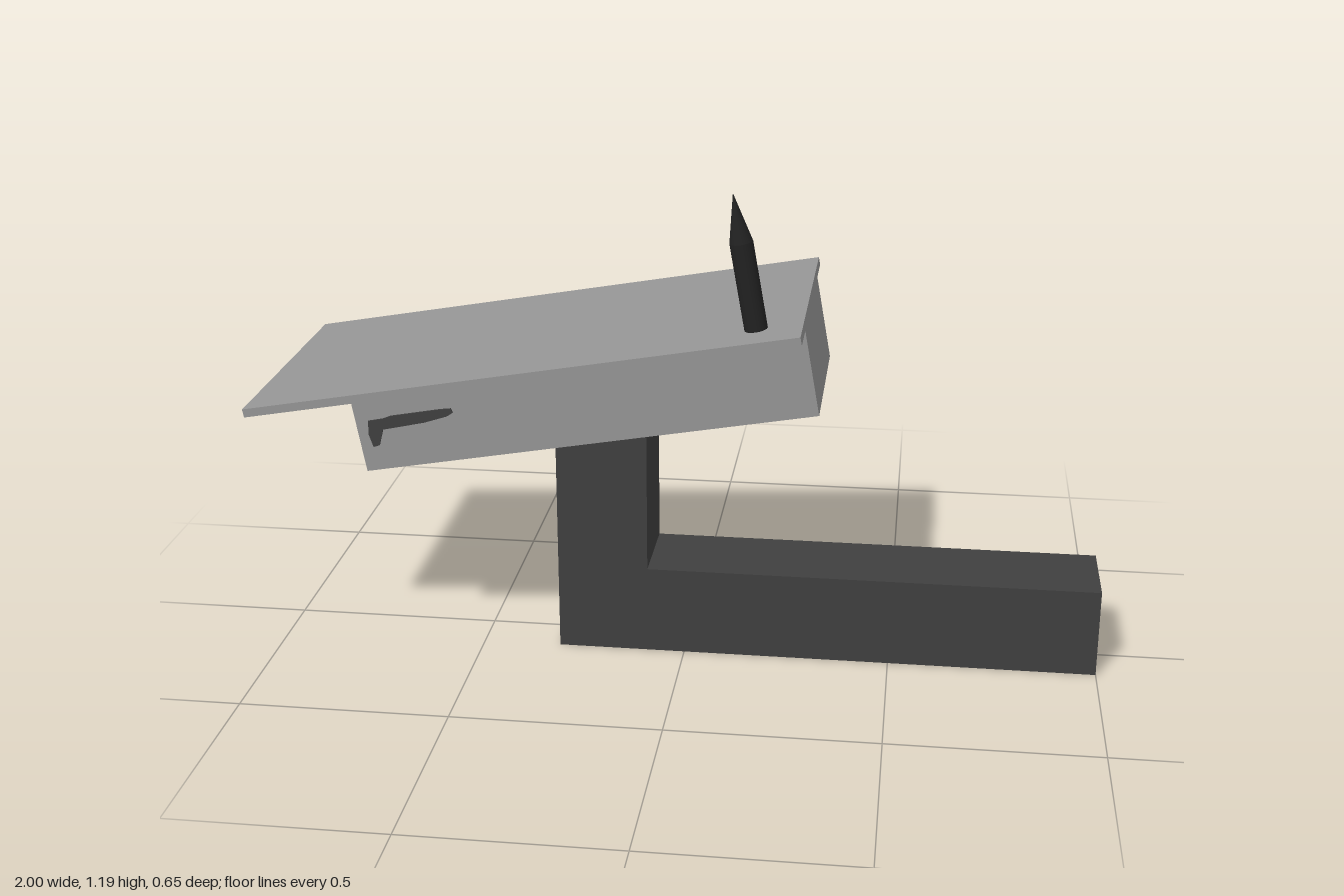
import * as THREE from 'three';

const mat = (name, color, side = THREE.FrontSide) => {
  const m = new THREE.MeshStandardMaterial({ color, side });
  m.name = name;
  return m;
};

function roundedRect(w, h, r) {
  const s = new THREE.Shape(), x = w / 2, y = h / 2;
  s.absarc(x - r, y - r, r, 0, Math.PI / 2);
  s.absarc(-x + r, y - r, r, Math.PI / 2, Math.PI);
  s.absarc(-x + r, -y + r, r, Math.PI, Math.PI * 1.5);
  s.absarc(x - r, -y + r, r, Math.PI * 1.5, Math.PI * 2);
  return s;
}

const polygon = (pts) => new THREE.Shape(pts.map(([x, y]) => new THREE.Vector2(x, y)));

export function createModel() {
  const model = new THREE.Group();
  model.name = 'securityCamera';
  const grey = mat('casingGrey', 0x969696);
  const dark = mat('mountDark', 0x404040);
  const black = mat('black', 0x222222);
  const yellow = mat('labelYellow', 0xa08a08);

  const add = (parent, name, geo, material, x = 0, y = 0, z = 0) => {
    const m = new THREE.Mesh(geo, material);
    m.name = name;
    m.position.set(x, y, z);
    parent.add(m);
    return m;
  };
  const plate = (shape, depth) =>
    new THREE.ExtrudeGeometry(shape, { depth, bevelEnabled: false, curveSegments: 8 });

  // L-shaped wall bracket, cut to the slope of the casing
  const bracket = polygon([[-0.31, 0], [1, 0], [1, 0.218], [-0.09, 0.218], [-0.09, 0.602], [-0.31, 0.563]]);
  add(model, 'bracket', plate(bracket, 0.216), dark, 0, 0, -0.108);

  // Tilted head; its origin is the lower rear edge of the casing
  const head = new THREE.Group();
  head.name = 'cameraHead';
  head.position.set(0.325, 0.675, 0);
  head.rotation.z = THREE.MathUtils.degToRad(10);
  model.add(head);

  add(head, 'casing', new THREE.BoxGeometry(1.086, 0.206, 0.43), grey, -0.543, 0.103, 0);
  add(head, 'sunShield', new THREE.BoxGeometry(1.306, 0.02, 0.65), grey, -0.653, 0.216, 0);

  // Antenna with pointed tip
  add(head, 'antenna', new THREE.CylinderGeometry(0.027, 0.027, 0.21, 16), black, -0.109, 0.325, 0.218);
  add(head, 'antennaTip', new THREE.ConeGeometry(0.027, 0.113, 16), black, -0.109, 0.4865, 0.218);

  // Lens window on the far end
  const lens = add(head, 'lensWindow', plate(roundedRect(0.38, 0.14, 0.06), 0.005), black, -1.086, 0.105, 0);
  lens.rotation.y = -Math.PI / 2;

  // Warning label on the back side
  const label = new THREE.Group();
  label.name = 'warningLabel';
  label.position.set(-0.155, 0.11, -0.215);
  label.rotation.y = Math.PI;
  head.add(label);
  add(label, 'labelPlate', plate(roundedRect(0.205, 0.14, 0.015), 0.003), yellow);
  add(label, 'labelDot', new THREE.CircleGeometry(0.008, 10), black, -0.05, 0.03, 0.004);
  add(label, 'labelDash', new THREE.PlaneGeometry(0.06, 0.01), black, 0.02, 0.004, 0.004);

  // Two indicator lights underneath
  for (const z of [0.098, -0.011]) {
    const light = new THREE.Group();
    light.name = 'indicatorLight';
    light.position.set(-0.115, 0, z);
    light.rotation.x = Math.PI / 2;
    head.add(light);
    const slit = polygon([[-0.012, 0], [0, -0.039], [0.012, 0], [0, 0.039]]);
    add(light, 'lightSlit', plate(slit, 0.003), black);
    const disc = add(light, 'lightDisc', new THREE.CircleGeometry(0.016, 14), yellow, 0, 0, 0.002);
    disc.scale.x = 1.5;
  }

  // Dark latch plate on the front side
  const latch = polygon([
    [-0.735, 0.615], [-0.735, 0.58], [-0.725, 0.55], [-0.71, 0.555], [-0.7, 0.595], [-0.6, 0.617],
    [-0.545, 0.635], [-0.53, 0.645], [-0.535, 0.655], [-0.56, 0.652], [-0.68, 0.63], [-0.7, 0.622],
  ]);
  add(model, 'latchPlate', plate(latch, 0.004), dark, 0, 0, 0.215);

  return model;
}
